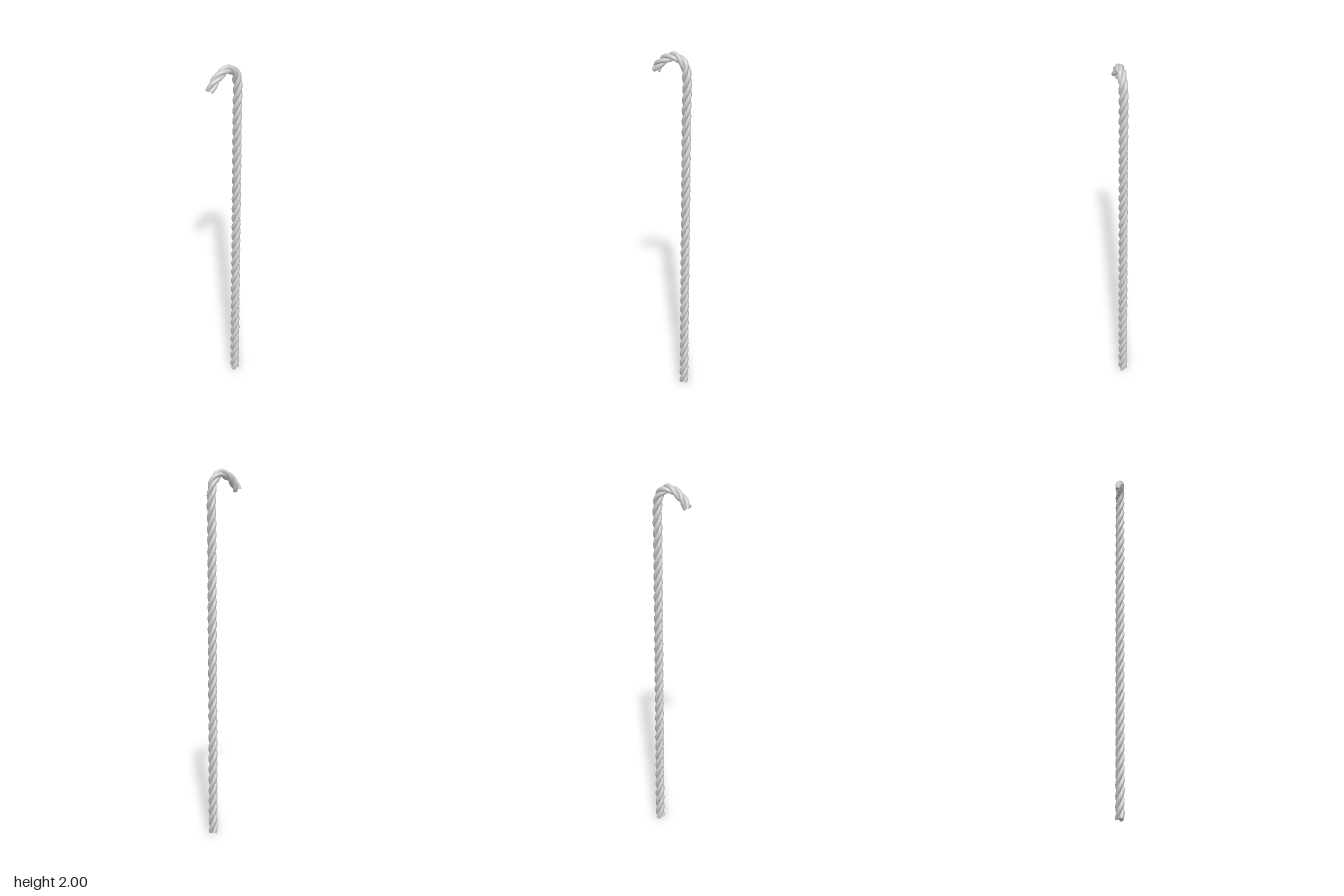
import * as THREE from 'three';

const STRANDS = 3, PITCH = 0.18, OFFSET = 0.0128, RADIUS = 0.0122;

// One strand winding right-handed round the hooked centre line
class StrandCurve extends THREE.Curve {
  constructor(path, phase) {
    super();
    this.path = path;
    this.phase = phase;
    this.length = path.getLength();
  }
  getPoint(t, target = new THREE.Vector3()) {
    const u = THREE.MathUtils.clamp(t, 0, 1);
    const side = new THREE.Vector3(1, 0, 0);
    const normal = this.path.getTangentAt(u).cross(side).normalize();
    const a = this.phase + ((u - 1) * this.length / PITCH) * Math.PI * 2;
    return target.copy(this.path.getPointAt(u))
      .addScaledVector(side, Math.cos(a) * OFFSET)
      .addScaledVector(normal, Math.sin(a) * OFFSET);
  }
}

export function createModel() {
  const group = new THREE.Group();
  group.name = 'hookedRope';
  const material = new THREE.MeshStandardMaterial({ color: 0xcccccc });

  // Centre line as [z, y]: long, slightly leaning shaft, then the hook
  const path = new THREE.CatmullRomCurve3([
    [-0.08, 0.005], [-0.082, 0.6], [-0.085, 1.2], [-0.087, 1.7], [-0.088, 1.87],
    [-0.073, 1.94], [-0.025, 1.975], [0.03, 1.957], [0.07, 1.92], [0.09, 1.886],
  ].map(([z, y]) => new THREE.Vector3(0, y, z)));
  path.arcLengthDivisions = 2000;

  for (let i = 0; i < STRANDS; i++) {
    const curve = new StrandCurve(path, Math.PI / 6 + (i * Math.PI * 2) / STRANDS);
    curve.arcLengthDivisions = 1500;
    const strand = new THREE.Group();
    strand.name = `strand${i + 1}`;
    const tube = new THREE.Mesh(new THREE.TubeGeometry(curve, 500, RADIUS, 12), material);
    tube.name = 'strandBody';
    strand.add(tube);

    // Flat cut ends
    for (const end of [0, 1]) {
      const cap = new THREE.Mesh(new THREE.CircleGeometry(RADIUS, 12), material);
      cap.name = end ? 'hookEnd' : 'footEnd';
      const p = curve.getPoint(end);
      const outward = curve.getTangent(end).multiplyScalar(end ? 1 : -1);
      cap.position.copy(p);
      cap.quaternion.setFromUnitVectors(new THREE.Vector3(0, 0, 1), outward);
      strand.add(cap);
    }
    group.add(strand);
  }
  return group;
}
